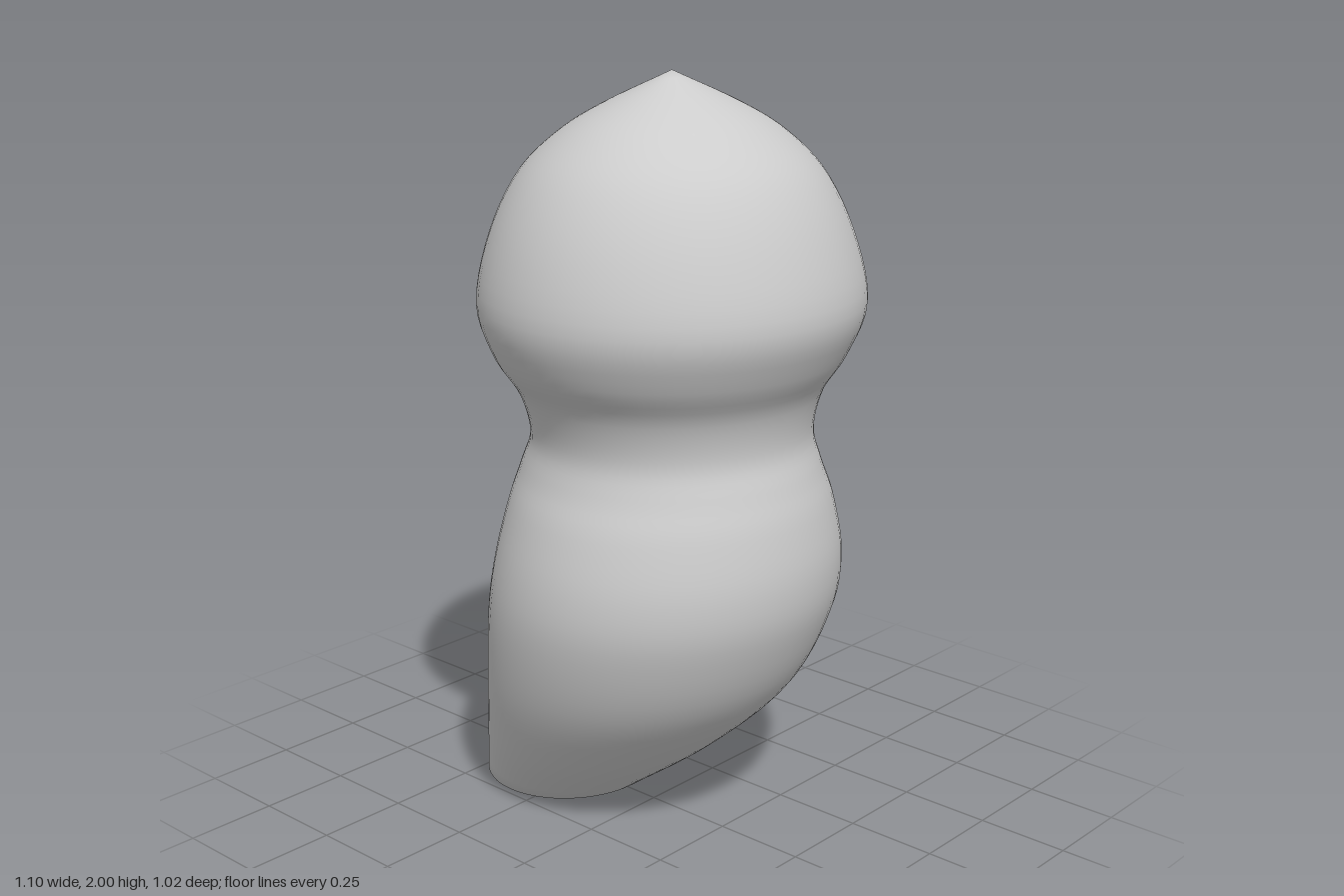
import * as THREE from 'three';

const SIDES = 64;
const STEPS = 72;

// Elliptical cross-sections: y, left x, right x, half depth
const SECTIONS = [
  [0.01, -0.55, -0.085, 0.245],
  [0.2, -0.5, 0.17, 0.345],
  [0.4, -0.455, 0.375, 0.43],
  [0.6, -0.42, 0.475, 0.474],
  [0.75, -0.39, 0.5, 0.472],
  [0.9, -0.355, 0.48, 0.435],
  [1.0, -0.325, 0.45, 0.395],
  [1.09, -0.295, 0.425, 0.375],
  [1.2, -0.32, 0.445, 0.405],
  [1.3, -0.38, 0.505, 0.47],
  [1.43, -0.42, 0.55, 0.51],
  [1.6, -0.385, 0.51, 0.475],
  [1.75, -0.315, 0.435, 0.4],
  [1.85, -0.215, 0.335, 0.3],
  [1.92, -0.105, 0.225, 0.18],
  [2.0, 0.06, 0.06, 0],
];

// Smooth lofted skin with shared vertices, closed below by a shallow base
function loftGeometry() {
  const curve = (f) => new THREE.CatmullRomCurve3(SECTIONS.map(f), false, 'catmullrom', 0.5);
  const widths = curve(([y, l, r]) => new THREE.Vector3((l + r) / 2, y, (r - l) / 2));
  const depths = curve(([y, l, r, d]) => new THREE.Vector3((l + r) / 2, y, d));

  const rings = [[-0.3175, 0.002, 0.116, 0.122], [-0.3175, 0.008, 0.215, 0.228]];
  for (let i = 0; i < STEPS; i++) {
    const w = widths.getPoint(i / STEPS);
    rings.push([w.x, w.y, w.z, depths.getPoint(i / STEPS).z]);
  }

  const positions = [];
  const index = [];
  for (const [cx, y, rx, rz] of rings) {
    for (let i = 0; i < SIDES; i++) {
      const a = (i / SIDES) * Math.PI * 2;
      positions.push(cx + rx * Math.cos(a), y, rz * Math.sin(a));
    }
  }
  const bottom = rings.length * SIDES;
  const top = bottom + 1;
  positions.push(-0.3175, 0, 0, 0.06, 2, 0);

  const last = (rings.length - 1) * SIDES;
  for (let i = 0; i < SIDES; i++) {
    const n = (i + 1) % SIDES;
    for (let j = 0; j < rings.length - 1; j++) {
      const a = j * SIDES + i, b = a + SIDES;
      const c = j * SIDES + n, d = c + SIDES;
      index.push(a, b, c, c, b, d);
    }
    index.push(bottom, i, n, last + i, top, last + n);
  }

  const geometry = new THREE.BufferGeometry();
  geometry.setAttribute('position', new THREE.Float32BufferAttribute(positions, 3));
  geometry.setIndex(index);
  geometry.computeVertexNormals();
  return geometry;
}

export function createModel() {
  const group = new THREE.Group();
  group.name = 'figure';

  const grey = new THREE.MeshStandardMaterial({ color: 0xcccccc });
  grey.name = 'light grey';

  // Leaning body, pinched neck and pointed round head in one skin
  const body = new THREE.Mesh(loftGeometry(), grey);
  body.name = 'bodyAndHead';
  group.add(body);
  return group;
}
